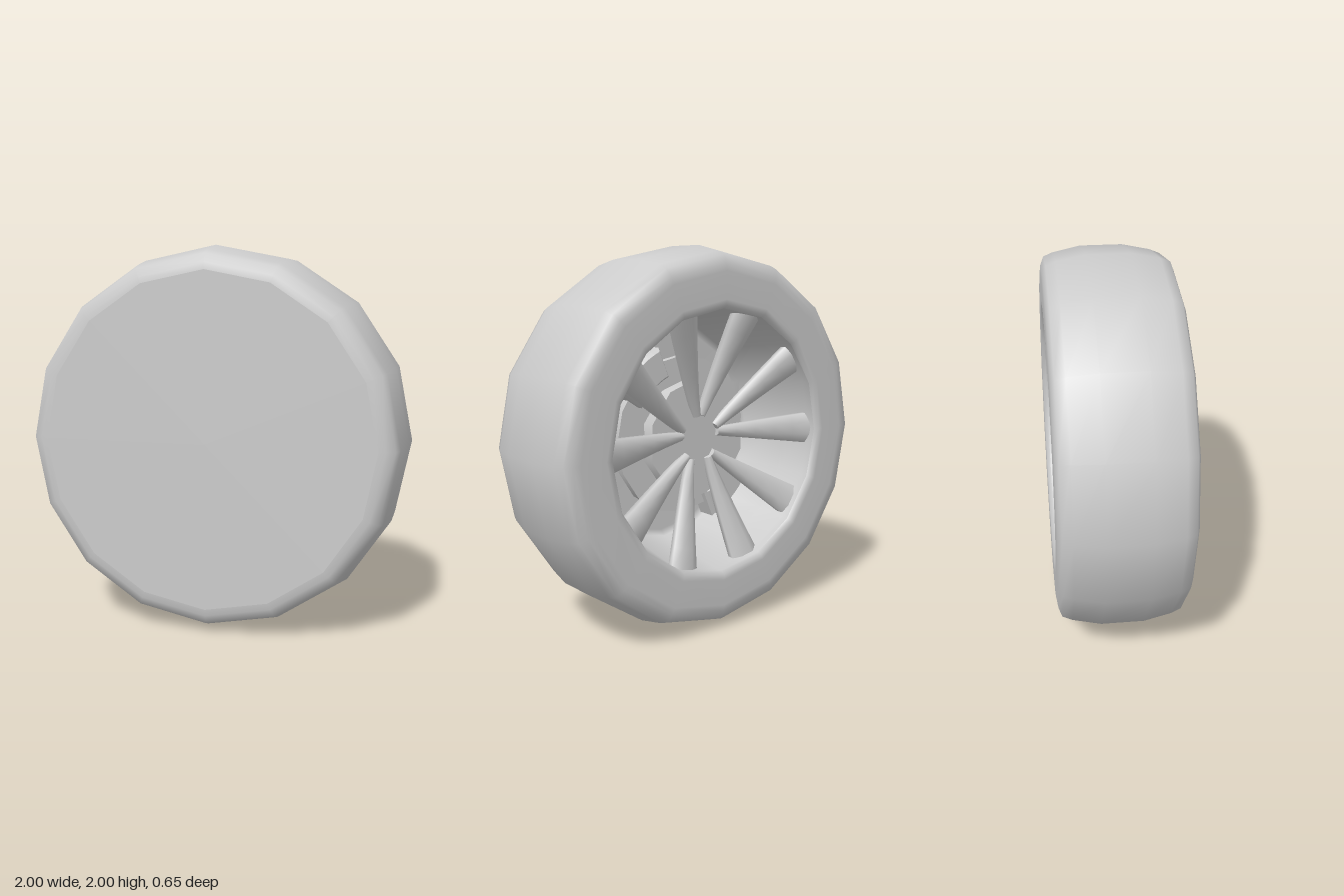
import * as THREE from 'three';

const material = new THREE.MeshStandardMaterial({ color: 0xcccccc });

function addMesh(parent, name, geometry) {
  const mesh = new THREE.Mesh(geometry, material);
  mesh.name = name;
  parent.add(mesh);
  return mesh;
}

// Revolve [radius, z] points around the wheel axis (z)
function revolve(points, sides) {
  const profile = points.map(([r, z]) => new THREE.Vector2(r, z));
  return new THREE.LatheGeometry(profile, sides).rotateX(Math.PI / 2);
}

// Disc or drum between two z positions
function drum(radius, z0, z1, sides) {
  return new THREE.CylinderGeometry(radius, radius, z1 - z0, sides)
    .rotateX(Math.PI / 2).translate(0, 0, (z0 + z1) / 2);
}

// Spoke: a chamfered bar that widens and rises from the hub to the rim
function spokeGeometry(side) {
  const geometry = new THREE.CylinderGeometry(1, 1, 1, 8, 5);
  geometry.rotateY(Math.PI / 8);
  const start = new THREE.Vector2(side * 0.015, 0.12);
  const tipAngle = THREE.MathUtils.degToRad(18);
  const end = new THREE.Vector2(side * Math.sin(tipAngle) * 0.69, Math.cos(tipAngle) * 0.69);
  const along = end.clone().sub(start).normalize();
  const across = new THREE.Vector2(along.y, -along.x);
  const length = start.distanceTo(end);
  const p = geometry.attributes.position;
  for (let i = 0; i < p.count; i++) {
    const t = p.getY(i) + 0.5;
    const halfWidth = 0.022 + 0.065 * t;
    const halfDepth = 0.03 + 0.012 * t;
    const w = p.getX(i) * halfWidth * 1.08;
    const z = -0.11 - 0.13 * Math.pow(t, 1.2) + p.getZ(i) * halfDepth;
    p.setXYZ(i,
      start.x + along.x * length * t + across.x * w,
      start.y + along.y * length * t + across.y * w,
      z);
  }
  geometry.computeVertexNormals();
  return geometry;
}

// Caliper: an arc block with bevelled edges
function caliperGeometry() {
  const shape = new THREE.Shape();
  shape.absarc(0, 0, 0.5, -0.3, 0.3, false);
  shape.absarc(0, 0, 0.36, 0.3, -0.3, true);
  shape.closePath();
  return new THREE.ExtrudeGeometry(shape, {
    depth: 0.1, curveSegments: 4, bevelEnabled: true,
    bevelSize: 0.015, bevelThickness: 0.02, bevelSegments: 1,
  }).translate(0, 0, -0.05);
}

export function createModel() {
  const model = new THREE.Group();
  model.name = 'wheel';

  const wheel = new THREE.Group();
  wheel.name = 'wheelAssembly';
  wheel.position.y = 1;
  model.add(wheel);

  // Barrel wall and floor, open at the back
  addMesh(wheel, 'rimBarrel', revolve([
    [0, 0.22], [0.58, 0.22], [0.61, 0.19], [0.66, -0.1], [0.685, -0.26], [0.685, -0.305],
  ], 16));

  // Tyre with rounded shoulders and a closed front
  addMesh(wheel, 'tyre', revolve([
    [0.685, -0.305], [0.7, -0.325], [0.73, -0.327], [0.87, -0.327], [0.905, -0.322],
    [0.95, -0.305], [0.97, -0.255], [1, -0.11],
    [1, 0.11], [0.97, 0.255], [0.95, 0.305], [0.905, 0.322], [0.87, 0.327],
  ], 16));
  addMesh(wheel, 'frontCover', revolve([[0.87, 0.327], [0, 0.327]], 16));

  // Hub, brake disc and axle
  addMesh(wheel, 'hubPlate', drum(0.32, -0.11, -0.04, 10));
  addMesh(wheel, 'brakeDisc', drum(0.43, 0.02, 0.06, 16));
  addMesh(wheel, 'axle', drum(0.16, -0.05, 0.23, 12));

  // Five V-shaped pairs of spokes
  const left = spokeGeometry(1);
  const right = spokeGeometry(-1);
  for (let i = 0; i < 5; i++) {
    const pair = new THREE.Group();
    pair.name = 'spokePair';
    pair.rotation.z = (i * 2 * Math.PI) / 5;
    addMesh(pair, 'spoke', left);
    addMesh(pair, 'spoke', right);
    wheel.add(pair);
  }

  // Two opposite brake calipers
  const caliper = caliperGeometry();
  for (const degrees of [50, 230]) {
    const mesh = addMesh(wheel, 'brakeCaliper', caliper);
    mesh.rotation.z = THREE.MathUtils.degToRad(degrees);
    mesh.position.z = 0.04;
  }

  return model;
}
